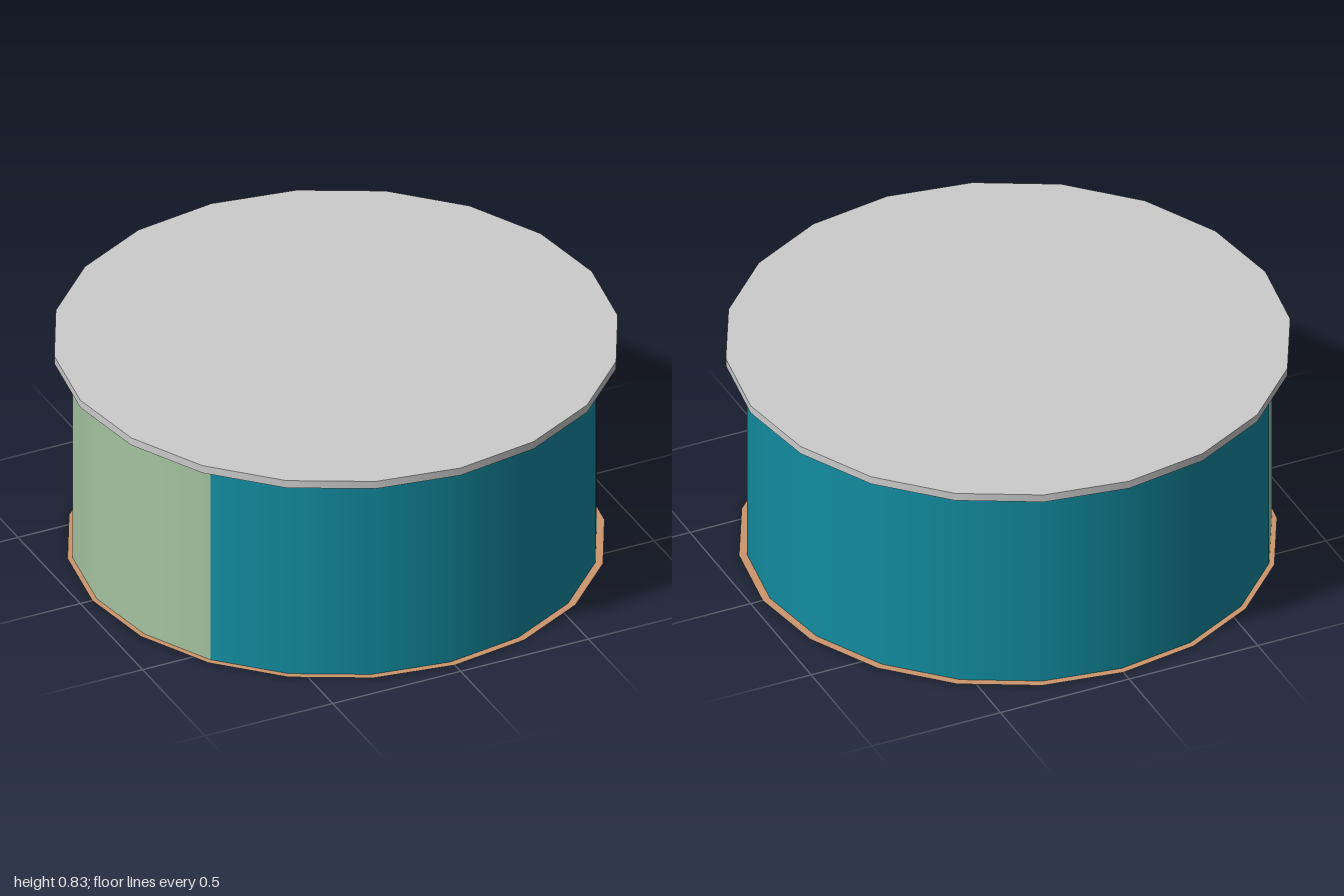
import * as THREE from 'three';

const SIDES = 20;
const STEP = (Math.PI * 2) / SIDES;

// Curved wall panel covering a number of the drum's sides
function wallPanel(name, color, firstSide, sides) {
  const radius = 0.93, bottom = 0.002, top = 0.805;
  const geometry = new THREE.CylinderGeometry(
    radius, radius, top - bottom, sides, 1, true, firstSide * STEP, sides * STEP);
  const material = new THREE.MeshStandardMaterial({ color, side: THREE.DoubleSide });
  const mesh = new THREE.Mesh(geometry, material);
  mesh.name = name;
  mesh.position.set(-0.005, (top + bottom) / 2, 0);
  return mesh;
}

export function createModel() {
  const group = new THREE.Group();
  group.name = 'drum';

  // Paper-thin floor, slightly wider than the wall
  const floor = new THREE.Mesh(
    new THREE.CircleGeometry(0.953, SIDES).rotateX(-Math.PI / 2),
    new THREE.MeshStandardMaterial({ color: 0xcc966c, side: THREE.DoubleSide }));
  floor.name = 'floor';
  group.add(floor);

  // Main wall, with a contrasting panel closing the gap on the -x side
  group.add(wallPanel('mainWall', 0x128ca0, -3, 16));
  group.add(wallPanel('sidePanel', 0xa5c3a0, -7, 4));

  // Overhanging lid
  const lid = new THREE.Mesh(
    new THREE.CylinderGeometry(1, 1, 0.03, SIDES),
    new THREE.MeshStandardMaterial({ color: 0xcccccc }));
  lid.name = 'lid';
  lid.position.y = 0.82;
  group.add(lid);

  return group;
}
